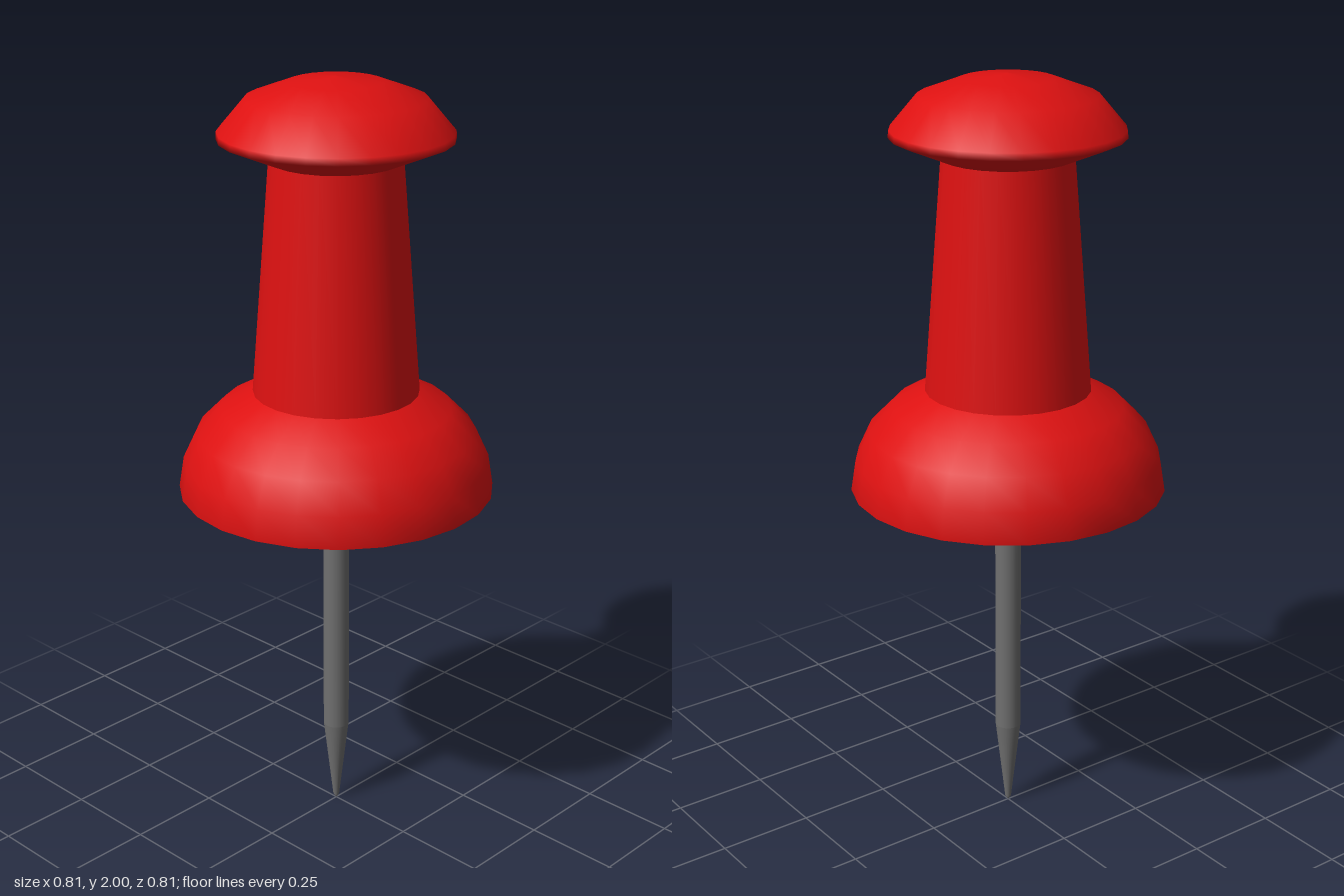
import * as THREE from 'three';

const SIDES = 24;

export function createModel() {
  const model = new THREE.Group();
  const red = new THREE.MeshStandardMaterial({ color: 0xdd1111 });
  red.name = 'red plastic';
  const steel = new THREE.MeshStandardMaterial({ color: 0x707070 });
  steel.name = 'grey steel';

  // Turns a [radius, height] profile, listed bottom to top, around the y axis
  function turned(name, profile, material) {
    const points = profile.map(([r, y]) => new THREE.Vector2(r, y));
    const mesh = new THREE.Mesh(new THREE.LatheGeometry(points, SIDES), material);
    mesh.name = name;
    model.add(mesh);
  }

  // Needle: straight shaft and tapered point
  turned('needleShaft', [[0.034, 0.24], [0.034, 0.95]], steel);
  turned('needlePoint', [[0, 0], [0.008, 0.012], [0.034, 0.24]], steel);

  // Domed base with a narrow lip, closed by a flat underside
  turned('baseDome', [
    [0.39, 0.945], [0.405, 0.945], [0.392, 1.025], [0.357, 1.1],
    [0.295, 1.163], [0.21, 1.207],
  ], red);
  turned('baseUnderside', [[0, 0.945], [0.39, 0.945]], red);

  // Tapered grip
  turned('grip', [[0.212, 1.205], [0.165, 1.8]], red);

  // Mushroom head with a conical undercut
  turned('head', [
    [0.16, 1.795], [0.291, 1.85], [0.29, 1.868], [0.222, 1.948],
    [0.115, 1.988], [0, 2],
  ], red);

  return model;
}
